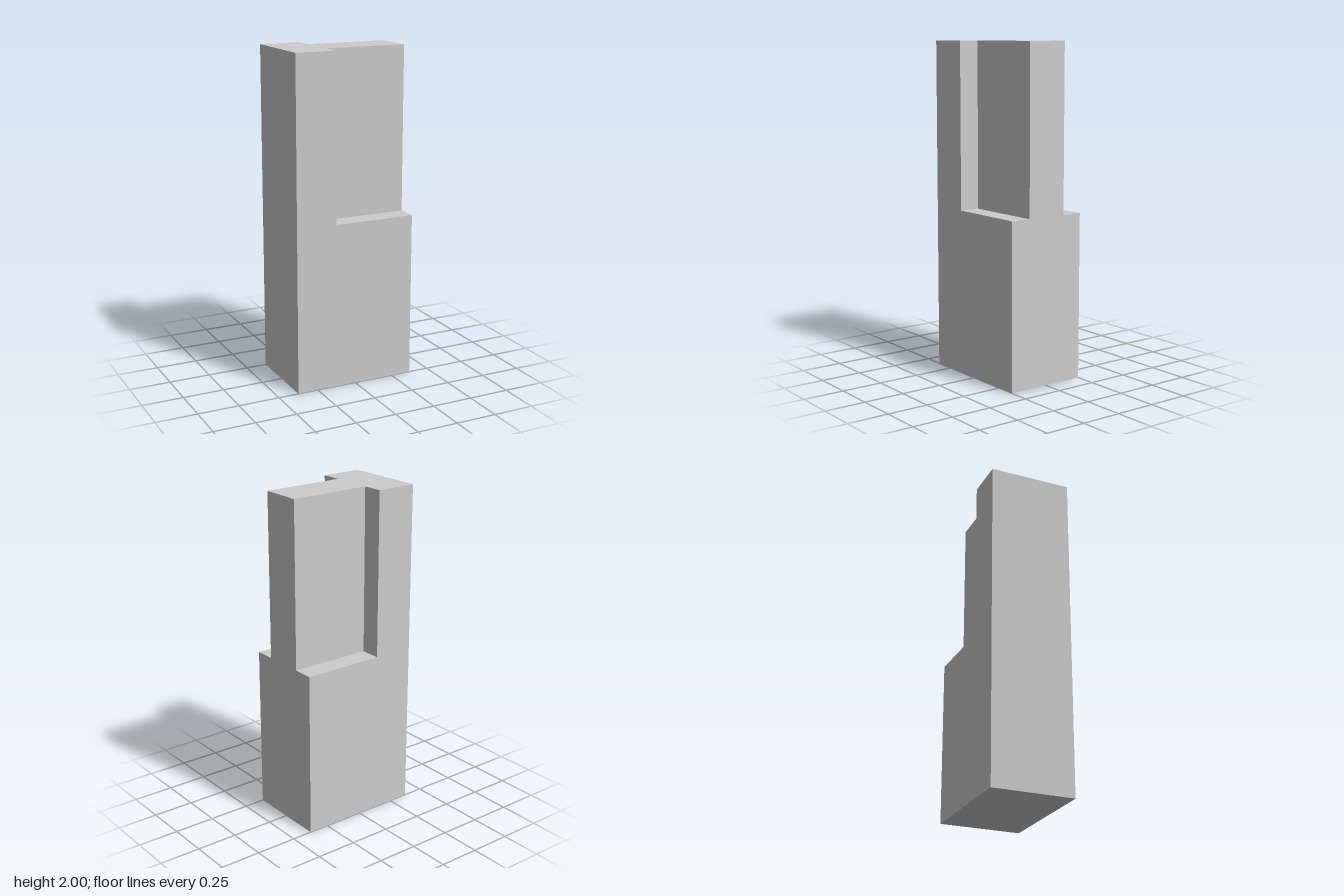
import * as THREE from 'three';

export function createModel() {
  const tower = new THREE.Group();
  tower.name = 'tower';
  const material = new THREE.MeshStandardMaterial({ color: 0xcccccc, flatShading: true });

  // Extrudes a floor plan (pairs of x, z) upward from a base height
  function storeyBlock(name, plan, baseY, height) {
    const shape = new THREE.Shape(plan.map(([x, z]) => new THREE.Vector2(x, -z)));
    const geometry = new THREE.ExtrudeGeometry(shape, { depth: height, bevelEnabled: false });
    geometry.rotateX(-Math.PI / 2);
    const mesh = new THREE.Mesh(geometry, material);
    mesh.name = name;
    mesh.position.y = baseY;
    tower.add(mesh);
  }

  const halfWidth = 0.375, halfDepth = 0.25;
  const stepX = -0.125, wingHalfDepth = 0.125;

  // Lower half: full rectangular plan
  storeyBlock('lowerBlock', [
    [-halfWidth, halfDepth], [halfWidth, halfDepth],
    [halfWidth, -halfDepth], [-halfWidth, -halfDepth],
  ], 0, 1);

  // Upper half: T-shaped plan, set back at front and rear to leave two terraces
  storeyBlock('upperBlock', [
    [-halfWidth, halfDepth], [stepX, halfDepth],
    [stepX, wingHalfDepth], [halfWidth, wingHalfDepth],
    [halfWidth, -wingHalfDepth], [stepX, -wingHalfDepth],
    [stepX, -halfDepth], [-halfWidth, -halfDepth],
  ], 1, 1);

  return tower;
}
